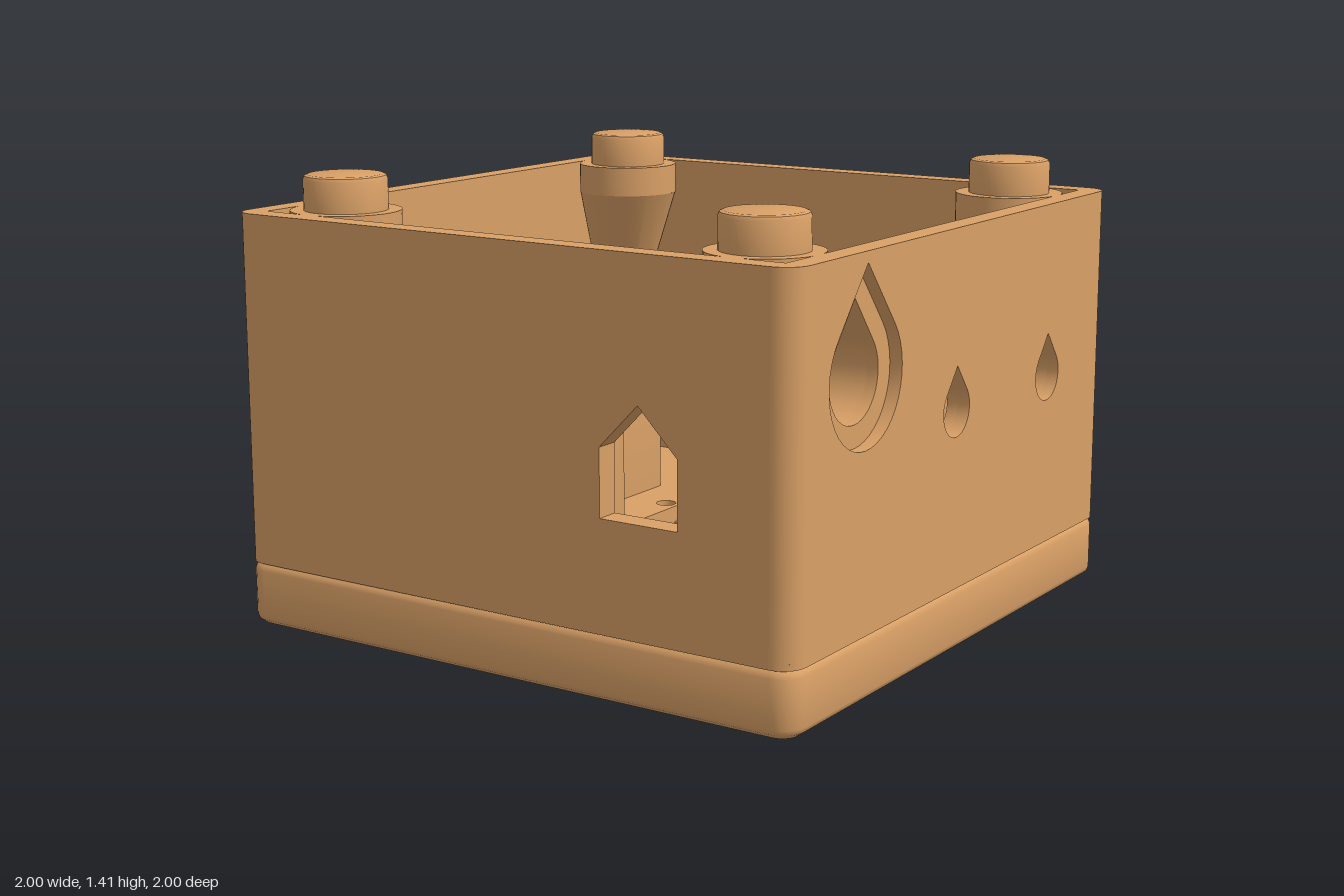
import * as THREE from 'three';
import { toCreasedNormals } from 'three/addons/utils/BufferGeometryUtils.js';

const FLOOR = 0.22, BODY = 0.2, TOP = 1.3, IN = 0.925, R = 0.075;
const PI = Math.PI;

export function createModel() {
  const group = new THREE.Group();
  const tan = new THREE.MeshStandardMaterial({ color: 0xd9a066, side: THREE.DoubleSide });
  tan.name = 'tan';

  const add = (name, geo, crease = 0.5) => {
    const mesh = new THREE.Mesh(toCreasedNormals(geo, crease), tan);
    mesh.name = name;
    group.add(mesh);
    return mesh;
  };

  // Skin between closed loops that have equal point counts
  const loft = (loops) => {
    const pos = [];
    const n = loops[0].length;
    for (let k = 0; k < loops.length - 1; k++) {
      for (let i = 0; i < n; i++) {
        const j = (i + 1) % n;
        const a = loops[k][i], b = loops[k][j], c = loops[k + 1][j], d = loops[k + 1][i];
        for (const p of [a, c, b, a, d, c]) pos.push(p.x, p.y, p.z);
      }
    }
    const g = new THREE.BufferGeometry();
    g.setAttribute('position', new THREE.Float32BufferAttribute(pos, 3));
    g.computeVertexNormals();
    return g;
  };
  const lift = (pts, y) => pts.map((p) => new THREE.Vector3(p.x, y, p.y));
  const arc = (cx, cy, r, a0, a1, n = 12) => Array.from({ length: n + 1 }, (_, i) => {
    const a = a0 + (a1 - a0) * i / n;
    return new THREE.Vector2(cx + r * Math.cos(a), cy + r * Math.sin(a));
  });
  const circle = (x, y, r) => arc(x, y, r, 0, 2 * PI, 32).slice(0, -1);
  const roundRect = (cx, cy, w, h, r) => [
    ...arc(cx + w - r, cy + h - r, r, 0, PI / 2, 6), ...arc(cx - w + r, cy + h - r, r, PI / 2, PI, 6),
    ...arc(cx - w + r, cy - h + r, r, PI, 1.5 * PI, 6), ...arc(cx + w - r, cy - h + r, r, 1.5 * PI, 2 * PI, 6)];
  const poly = (...p) => new THREE.Shape(p.map(([x, y]) => new THREE.Vector2(x, y)));
  const rect = (x0, x1, y0, y1) => poly([x0, y0], [x1, y0], [x1, y1], [x0, y1]);
  const cut = (shape, ...holes) => {
    for (const h of holes) shape.holes.push(new THREE.Path(h));
    return shape;
  };
  // Round hole with a pointed top
  const drop = (u, y, r, apex) => [...arc(u, y, r, PI * 0.78, PI * 2.22, 28), new THREE.Vector2(u, apex)];

  const extrude = (shape, depth, bevel = 0) => {
    const g = new THREE.ExtrudeGeometry(shape, {
      depth: depth - 2 * bevel, bevelEnabled: bevel > 0, bevelSize: bevel, bevelThickness: bevel,
      bevelOffset: -bevel, bevelSegments: 3, curveSegments: 16 });
    return g.translate(0, 0, bevel);
  };
  // Extrusion along x; the shape is drawn in (-z, y)
  const alongX = (shape, x0, x1, bevel) => extrude(shape, x1 - x0, bevel).rotateY(PI / 2).translate(x0, 0, 0);
  // Flat horizontal face; the shape is drawn in (x, z)
  const flat = (shape, y) => new THREE.ShapeGeometry(shape).rotateX(PI / 2).translate(0, y, 0);

  // ---- Base plate with sockets and a slot ----
  const outline = (inset) => roundRect(0, 0, 1 - inset, 1 - inset, R - inset);
  add('baseRim', loft([[0.025, 0], [0.005, 0.015], [0, 0.03], [0, 0.175], [0.006, 0.19], [0.018, BODY]]
    .map(([i, y]) => lift(outline(i), y))), 0.7);

  const grid = [-0.75, -0.25, 0.25, 0.75];
  const nearSlot = (x, z) => Math.abs(x) < 0.5 && z < 0.5;
  const sockets = grid.flatMap((x) => grid.map((z) => [x, z]));
  const slotZ = -0.25;
  // Slot outline merged with the six sockets of radius r that touch it
  const slotLoop = (r) => {
    const f = Math.acos(-0.05 / r), s = Math.asin(0.025 / r);
    return [
      ...arc(0.25, slotZ, r, -f, f), ...arc(0.25, slotZ + 0.5, r, -f, PI - s),
      ...arc(-0.25, slotZ + 0.5, r, s, PI + f), ...arc(-0.25, slotZ, r, PI - f, PI + f),
      ...arc(-0.25, slotZ - 0.5, r, PI - f, 2 * PI - s), ...arc(0.25, slotZ - 0.5, r, s - PI, f)];
  };
  const profile = [[0.148, 0], [0.126, 0.025], [0.126, 0.1], [0.056, 0.165]];
  const tip = [[0.056, 0.165], [0.033, 0.186], [0.033, FLOOR]];
  const slotTop = roundRect(0, slotZ, 0.2, 0.525, 0.05);

  add('baseUnderside', flat(cut(new THREE.Shape(outline(0.025)), slotLoop(0.148),
    ...sockets.filter(([x, z]) => !nearSlot(x, z)).map(([x, z]) => circle(x, z, 0.148))), 0));
  add('floor', flat(cut(rect(-0.98, 0.98, -0.98, 0.98), slotTop,
    ...sockets.map(([x, z]) => circle(x, z, 0.033))), FLOOR));
  add('slotLowerWall', loft(profile.map(([r, y]) => lift(slotLoop(r), y))));
  add('slotUpperWall', loft([lift(slotTop, 0.165), lift(slotTop, FLOOR)]));
  for (const [x, z] of sockets) {
    const rings = nearSlot(x, z) ? tip : [...profile, ...tip.slice(1)];
    add('socket', loft(rings.map(([r, y]) => lift(circle(x, z, r), y))));
  }

  // ---- Walls ----
  const house = [[0.37, 0.54], [0.63, 0.54], [0.63, 0.745], [0.5, 0.878], [0.37, 0.745]]
    .map(([x, y]) => new THREE.Vector2(x, y));
  const panel = () => rect(-IN, IN, BODY, TOP);
  add('frontWall', extrude(cut(panel(), house), R).translate(0, 0, IN));
  add('backWall', extrude(panel(), R).translate(0, 0, -1));
  add('rightSideWall', alongX(panel(), -1, -IN));
  const portU = -0.615, portY = 0.945;
  const port = () => drop(portU, portY, 0.137, 1.165);
  const small = [-0.065, 0.56].map((u) => drop(u, 0.755, 0.083, 0.888));
  add('leftSideWallInner', alongX(cut(panel(), port(), ...small), IN, 0.96));
  add('leftSideWallOuter', alongX(cut(panel(), drop(portU, portY, 0.205, 1.267), ...small), 0.96, 1));
  for (let i = 0; i < 4; i++) {
    const sector = new THREE.Shape([new THREE.Vector2(0, 0), ...arc(0, 0, R, 0, PI / 2, 10)]);
    add('wallCorner', extrude(sector, TOP - BODY).rotateX(-PI / 2)
      .translate(IN, BODY, -IN).rotateY(i * PI / 2));
  }

  // ---- Corner studs on skewed supports ----
  for (const sx of [-1, 1]) {
    for (const sz of [-1, 1]) {
      const c = 0.755;
      const pts = [[0.172, 1.2], [0.172, TOP], [0.13, TOP], [0.13, 1.395], [0.125, 1.406], [0.115, 1.41], [0, 1.41]]
        .map(([x, y]) => new THREE.Vector2(x, y));
      add('stud', new THREE.LatheGeometry(pts, 40).translate(sx * c, 0, sz * c));
      add('studSupport', loft([[0.895, 0.03, 0.57], [c, 0.172, 1.2]]
        .map(([p, r, y]) => lift(circle(sx * p, sz * p, r), y))));
    }
    // Round posts beside the front corners
    add('frontPost', new THREE.CylinderGeometry(0.16, 0.16, 0.7 - BODY, 40)
      .translate(sx * 0.645, (0.7 + BODY) / 2, 0.645));
  }

  // ---- Port block on the left wall, with sloped underside ----
  add('portBlock', alongX(cut(rect(-0.83, -0.4, 0.7, 1.2), port()), 0.72, IN));
  add('portBlockSlope', extrude(poly([0.72, 0.7], [IN, 0.495], [IN, 0.7]), 0.43).translate(0, 0, 0.4));

  // ---- Centre plate with matching hole ----
  add('centrePlate', alongX(cut(rect(-0.82, -0.41, BODY, 1.15), drop(portU, portY, 0.137, 1.12)), -0.09, 0.05, 0.02), 0.7);

  // ---- Saddles and end stop ----
  const saddle = () => new THREE.Shape([
    new THREE.Vector2(0.06, BODY), new THREE.Vector2(0.45, BODY), new THREE.Vector2(0.45, 0.77),
    new THREE.Vector2(0.38, 0.77), ...arc(0.255, 0.745, 0.125, 0, -PI, 20), new THREE.Vector2(0.13, 0.77),
    new THREE.Vector2(0.06, 0.77)]);
  add('rightSaddle', alongX(saddle(), -0.605, -0.4, 0.02), 0.7);
  add('leftSaddle', alongX(saddle(), 0.685, 0.895, 0.02), 0.7);
  add('endStop', alongX(rect(0.06, 0.45, BODY, 0.79), -0.69, -0.63, 0.015), 0.7);

  return group;
}
